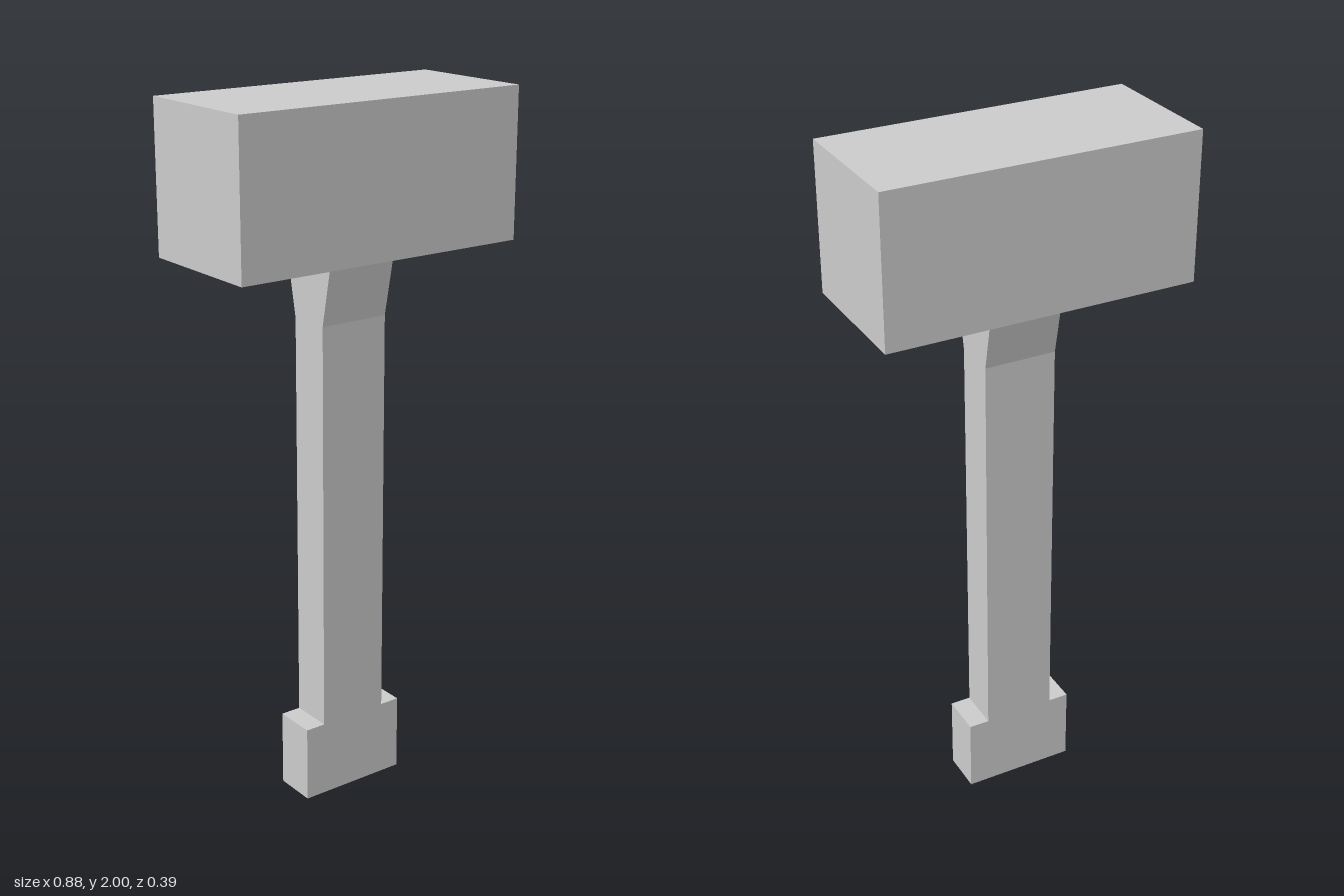
import * as THREE from 'three';

const material = new THREE.MeshStandardMaterial({ color: 0xcccccc, flatShading: true });

function addMesh(group, name, geometry, x, y, z) {
  const mesh = new THREE.Mesh(geometry, material);
  mesh.name = name;
  mesh.position.set(x, y, z);
  group.add(mesh);
}

export function createModel() {
  const group = new THREE.Group();
  group.name = 'hammer';

  // Heavy block head
  const headBottom = 1.585;
  addMesh(group, 'head', new THREE.BoxGeometry(0.882, 2 - headBottom, 0.39), 0, (2 + headBottom) / 2, 0);

  // Handle: side profile that flares front and back under the head
  const gripTop = 0.222, flareStart = 1.4, halfDepth = 0.062, flareDepth = 0.1, width = 0.207;
  const profile = new THREE.Shape([
    [-halfDepth, gripTop], [halfDepth, gripTop], [halfDepth, flareStart],
    [flareDepth, headBottom], [-flareDepth, headBottom], [-halfDepth, flareStart],
  ].map(([z, y]) => new THREE.Vector2(z, y)));
  const handle = new THREE.ExtrudeGeometry(profile, { depth: width, bevelEnabled: false });
  handle.translate(0, 0, -width / 2).rotateY(Math.PI / 2);
  addMesh(group, 'handle', handle, -0.001, 0, 0.002);

  // Wider block at the foot of the handle
  addMesh(group, 'pommel', new THREE.BoxGeometry(0.326, gripTop, halfDepth * 2), -0.001, gripTop / 2, 0.002);

  return group;
}
